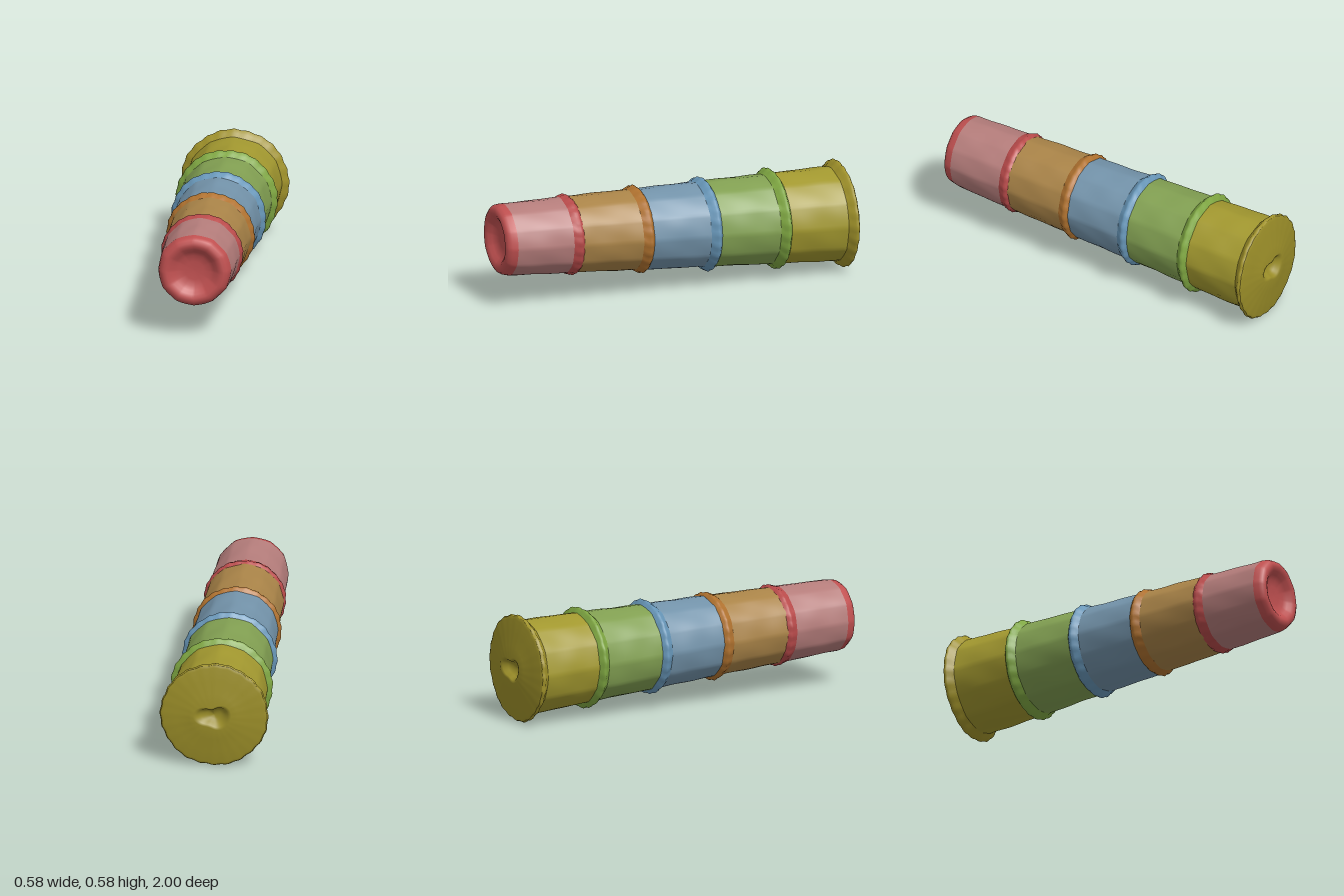
import * as THREE from 'three';

const SEG = 96;

// The stack tapers along a slightly tilted centre line.
const centreX = z => -0.0275 - 0.029 * z;
const centreY = z => 0.334 + 0.038 * z;
const bodyRadius = z => 0.226 - 0.033 * z;
const rimRadius = z => 0.246 - 0.046 * z;

// Soft twelve-sided wall with small hand-moulded dents.
function wallWobble(a, z) {
  const step = Math.PI / 6;
  const local = ((a % step) + step) % step - step / 2;
  const facet = Math.cos(step / 2) / Math.cos(local);
  const dents = Math.sin(5 * a + 9 * z) + Math.sin(8 * a - 21 * z) + Math.sin(3 * a + 34 * z);
  return 0.5 + 0.5 * facet + 0.008 + 0.004 * dents;
}

// Scalloped rim edge.
const rimWobble = (a, z) => 1 + 0.01 * Math.cos(24 * a + 7 * z) + 0.006 * Math.sin(7 * a + 11 * z);

// Irregular, wide outline for the dent in the base.
const pitWobble = a => 1 + 0.25 * Math.cos(2 * a) + 0.12 * Math.sin(3 * a + 1);

// Skin rings [z, radius, wobble], listed from the front towards the back.
function loft(name, color, rings) {
  const pos = [], index = [];
  rings.forEach(([z, r, wobble], i) => {
    for (let j = 0; j < SEG; j++) {
      const a = (j / SEG) * Math.PI * 2;
      const k = r * wobble(a, z);
      pos.push(centreX(z) + k * Math.cos(a), centreY(z) + k * Math.sin(a), z);
      if (i === rings.length - 1) continue;
      const p = i * SEG + j, q = i * SEG + (j + 1) % SEG;
      index.push(p, p + SEG, q, q, p + SEG, q + SEG);
    }
  });
  const geo = new THREE.BufferGeometry();
  geo.setAttribute('position', new THREE.Float32BufferAttribute(pos, 3));
  geo.setIndex(index);
  geo.computeVertexNormals();
  const mesh = new THREE.Mesh(geo, new THREE.MeshStandardMaterial({ color }));
  mesh.name = name;
  return mesh;
}

export function createModel() {
  const group = new THREE.Group();
  group.name = 'stackedCups';

  // name, wall colour, rim colour, rim position
  const cups = [
    ['red', 0xb57d7b, 0xb84a4a, 0.59],
    ['orange', 0xaa8448, 0xb0722f, 0.2],
    ['blue', 0x7393aa, 0x6796b8, -0.18],
    ['green', 0x82a052, 0x7fa742, -0.57],
    ['yellow', 0xa2982f, 0xa0922a, -0.95],
  ];

  let start = 0.94;
  cups.forEach(([name, wallColor, rimColor, zr], n) => {
    const cup = new THREE.Group();
    cup.name = name + 'Cup';

    // Wall, running from the previous rim to this one
    const end = zr + 0.035;
    const wall = [];
    for (let i = 0; i <= 14; i++) {
      const z = start + (end - start) * i / 14;
      wall.push([z, bodyRadius(z), wallWobble]);
    }
    cup.add(loft(name + 'Wall', wallColor, wall));

    // Flared rim
    const R = rimRadius(zr), b = bodyRadius(zr);
    const rim = [
      [end, bodyRadius(end), wallWobble],
      [zr + 0.018, b + (R - b) * 0.45, rimWobble],
      [zr + 0.006, R - 0.004, rimWobble],
      [zr - 0.004, R, rimWobble],
      [zr - 0.014, R - 0.006, rimWobble],
    ];
    if (n < cups.length - 1) rim.push([zr - 0.03, b - 0.004, wallWobble]);
    cup.add(loft(name + 'Rim', rimColor, rim));
    group.add(cup);
    start = zr - 0.015;
  });

  // Rounded front end with a shallow dish
  group.add(loft('frontDish', 0xc05050, [
    [0.952, 0, wallWobble],
    [0.953, 0.05, wallWobble],
    [0.958, 0.085, wallWobble],
    [0.972, 0.108, wallWobble],
    [0.988, 0.126, wallWobble],
    [0.997, 0.145, wallWobble],
    [0.997, 0.162, wallWobble],
    [0.988, 0.178, wallWobble],
    [0.97, 0.189, wallWobble],
    [0.94, bodyRadius(0.94), wallWobble],
  ]));

  // Slightly domed base with an uneven dent in the middle
  const R = rimRadius(-0.95);
  group.add(loft('backBase', 0x9a8d28, [
    [-0.964, R - 0.006, rimWobble],
    [-0.971, R - 0.02, rimWobble],
    [-0.98, 0.2, rimWobble],
    [-0.992, 0.13, rimWobble],
    [-1.0, 0.082, pitWobble],
    [-0.995, 0.066, pitWobble],
    [-0.972, 0.052, pitWobble],
    [-0.958, 0.03, pitWobble],
    [-0.955, 0, pitWobble],
  ]));

  return group;
}
